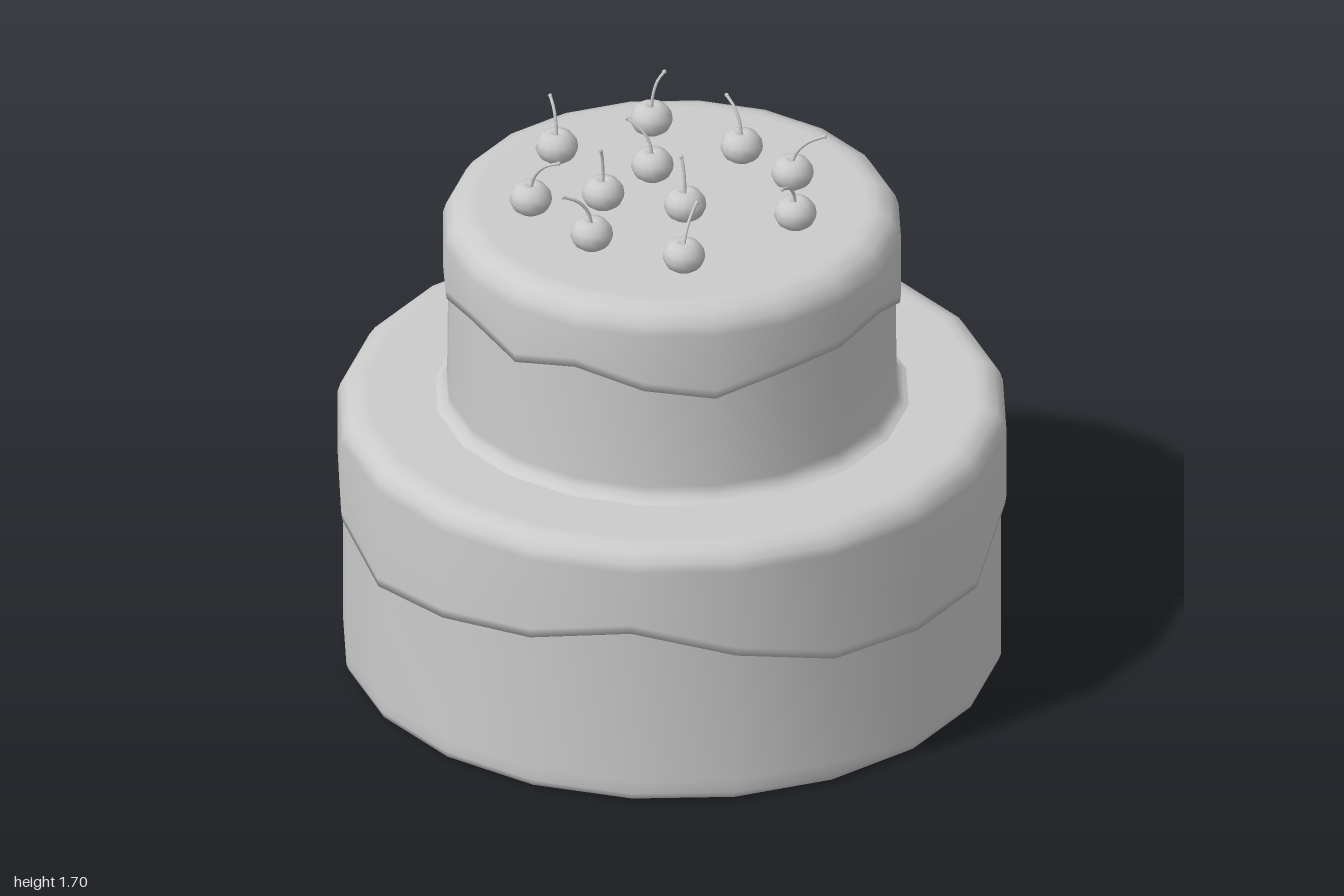
import * as THREE from 'three';
import { mergeVertices } from 'three/addons/utils/BufferGeometryUtils.js';

const material = new THREE.MeshStandardMaterial({ color: 0xcccccc });
const SIDES = 20;

function mesh(name, geometry) {
  const m = new THREE.Mesh(geometry, material);
  m.name = name;
  return m;
}

// Weld the lathe seam and poles so the shading runs smoothly around
function weld(geometry) {
  geometry.deleteAttribute('uv');
  geometry.deleteAttribute('normal');
  const g = mergeVertices(geometry, 1e-5);
  g.computeVertexNormals();
  return g;
}

function lathe(profile, sides) {
  return new THREE.LatheGeometry(profile.map(([r, y]) => new THREE.Vector2(r, y)), sides);
}

// Icing cap: the lowest three rings follow the dripping edge heights
function icing(name, r, top, bevel, edge) {
  const lip = [0.03, 0, 0.03];
  const g = lathe([
    [r - 0.03, 0], [r - 0.004, 0], [r, 0],
    [r, top - bevel], [r - bevel * 0.13, top - bevel * 0.6], [r - bevel * 0.4, top - bevel * 0.2],
    [r - bevel * 0.9, top], [r - bevel * 1.3, top], [r * 0.5, top], [0, top],
  ], SIDES);
  const pos = g.attributes.position;
  const rings = pos.count / (SIDES + 1);
  for (let i = 0; i < pos.count; i++) {
    const ring = i % rings;
    if (ring < 3) pos.setY(i, edge[Math.floor(i / rings) % SIDES] + lip[ring]);
  }
  return mesh(name, weld(g));
}

// Cherry with a dimple and a curved stem leaning towards its tip
function cherry([x, z, tipX, tipZ, tipY]) {
  const group = new THREE.Group();
  group.name = 'cherry';
  group.position.set(x, 1.488, z);
  group.add(mesh('cherryFruit', weld(lathe([
    [0, 0], [0.03, 0.004], [0.052, 0.02], [0.064, 0.046], [0.06, 0.07],
    [0.045, 0.09], [0.025, 0.098], [0.01, 0.093], [0, 0.086],
  ], 14))));
  const dx = tipX - x, dz = tipZ - z, h = tipY - 1.488;
  const path = new THREE.CatmullRomCurve3([
    [0, 0.08, 0], [dx * 0.12, 0.08 + (h - 0.08) * 0.4, dz * 0.12],
    [dx * 0.48, 0.08 + (h - 0.08) * 0.78, dz * 0.48], [dx, h, dz],
  ].map((p) => new THREE.Vector3(...p)));
  group.add(mesh('cherryStem', new THREE.TubeGeometry(path, 8, 0.005, 6)));
  const tip = mesh('stemTip', new THREE.SphereGeometry(0.007, 6, 4));
  tip.position.set(dx, h, dz);
  group.add(tip);
  return group;
}

export function createModel() {
  const cake = new THREE.Group();
  cake.name = 'cake';

  // Sponge tiers
  cake.add(mesh('lowerTier', weld(lathe([
    [0, 0], [0.93, 0], [0.955, 0], [0.977, 0.01], [0.984, 0.03], [0.984, 0.07], [0.984, 0.4], [0.984, 0.7],
  ], SIDES))));
  cake.add(mesh('upperTier', weld(lathe([
    [0.72, 0.85], [0.695, 0.86], [0.676, 0.875], [0.672, 0.9], [0.67, 1.1], [0.668, 1.4],
  ], SIDES))));

  // Icing, edge heights listed from the front towards +x
  cake.add(icing('lowerIcing', 1, 0.855, 0.07, [
    0.42, 0.42, 0.54, 0.56, 0.5, 0.49, 0.49, 0.57, 0.48, 0.42,
    0.41, 0.45, 0.56, 0.52, 0.46, 0.49, 0.52, 0.58, 0.5, 0.43,
  ]));
  cake.add(icing('upperIcing', 0.685, 1.495, 0.08, [
    1.26, 1.28, 1.2, 1.24, 1.25, 1.23, 1.28, 1.22, 1.23, 1.28,
    1.24, 1.26, 1.21, 1.24, 1.28, 1.23, 1.28, 1.23, 1.2, 1.25,
  ]));

  // Cherries: x, z, stem tip x, z, y
  const cherries = new THREE.Group();
  cherries.name = 'cherries';
  [
    [-0.04, -0.43, -0.015, -0.48, 1.68], [0.275, -0.34, 0.31, -0.32, 1.69],
    [-0.325, -0.27, -0.3, -0.18, 1.68], [-0.155, -0.135, -0.17, -0.13, 1.69],
    [0.07, -0.145, 0.04, -0.22, 1.68], [-0.36, 0.01, -0.44, -0.03, 1.68],
    [0.335, -0.03, 0.345, -0.1, 1.68], [-0.04, 0.09, -0.035, 0.07, 1.69],
    [0.32, 0.19, 0.385, 0.26, 1.66], [-0.27, 0.3, -0.155, 0.245, 1.65],
    [0.145, 0.365, 0.05, 0.4, 1.67],
  ].forEach((c) => cherries.add(cherry(c)));
  cake.add(cherries);

  return cake;
}
